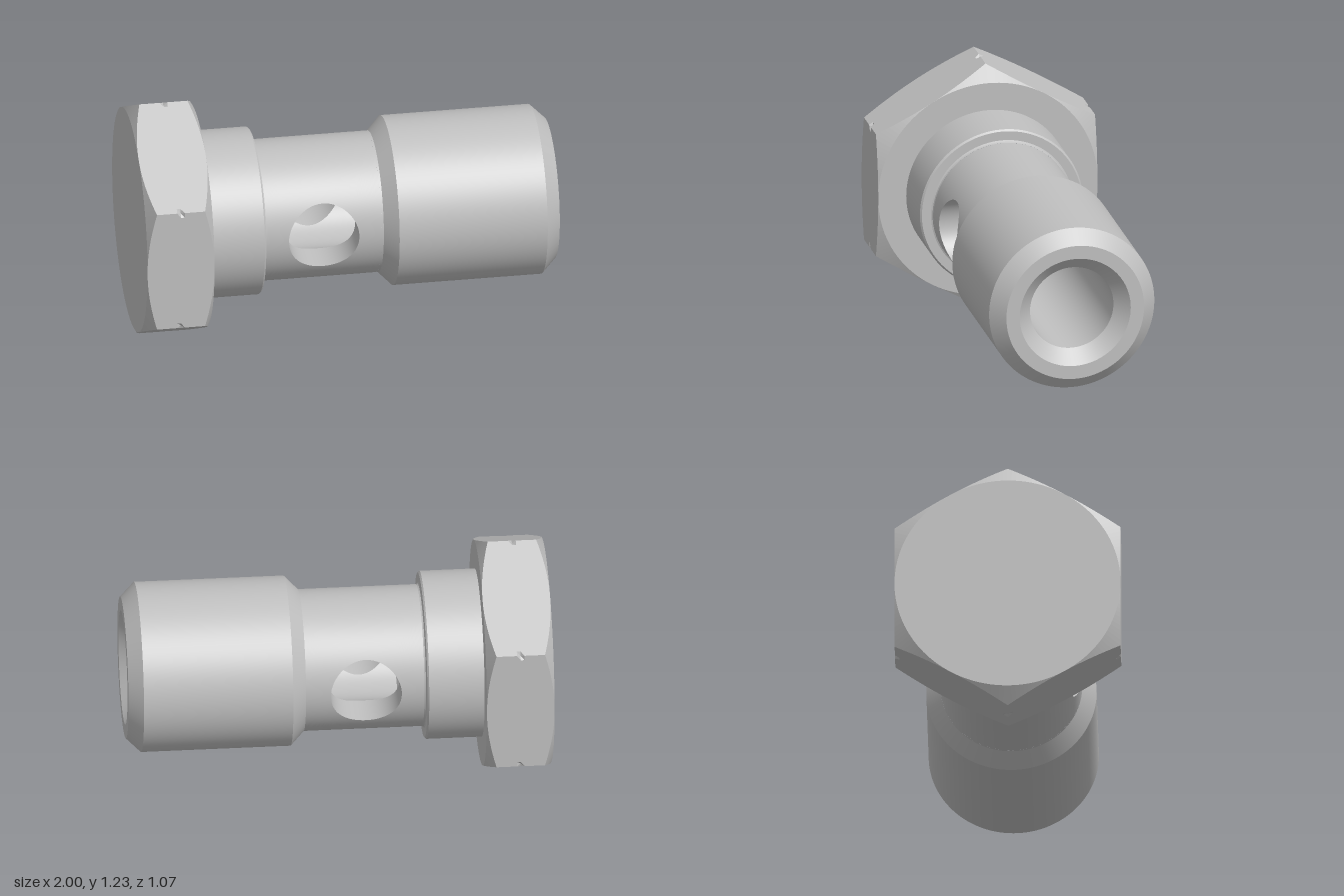
import * as THREE from 'three';
import { mergeGeometries } from 'three/addons/utils/BufferGeometryUtils.js';

const AXIS_Y = 0.616;                    // height of the bolt axis
const NECK_R = 0.335, BORE_R = 0.203;
const HOLE_X = -0.125, HOLE_R = 0.168;   // cross hole, drilled along z

// Turned surface about the x axis from [x, radius] points, with sharp edges
function turned(profile) {
  const bands = [];
  for (let i = 0; i + 1 < profile.length; i++) {
    const pts = [profile[i], profile[i + 1]].map(([x, r]) => new THREE.Vector2(r, x));
    bands.push(new THREE.LatheGeometry(pts, 96));
  }
  return mergeGeometries(bands).rotateZ(-Math.PI / 2);
}

// Grid surface; f(i, j) gives { p, n }, and faces are wound to agree with n
function gridSurface(rows, cols, f) {
  const pos = [], nor = [], index = [], P = [], N = [];
  for (let i = 0; i <= rows; i++) for (let j = 0; j <= cols; j++) {
    const { p, n } = f(i, j);
    P.push(p); N.push(n);
    pos.push(...p.toArray()); nor.push(...n.toArray());
  }
  const tri = (a, b, c) => {
    const g = P[b].clone().sub(P[a]).cross(P[c].clone().sub(P[a]));
    const facing = g.dot(N[a].clone().add(N[b]).add(N[c]));
    index.push(...(facing >= 0 ? [a, b, c] : [a, c, b]));
  };
  for (let i = 0; i < rows; i++) for (let j = 0; j < cols; j++) {
    const a = i * (cols + 1) + j, d = a + cols + 1;
    tri(a, a + 1, d + 1);
    tri(a, d + 1, d);
  }
  const geo = new THREE.BufferGeometry();
  geo.setAttribute('position', new THREE.Float32BufferAttribute(pos, 3));
  geo.setAttribute('normal', new THREE.Float32BufferAttribute(nor, 3));
  geo.setIndex(index);
  return geo;
}

// Point number j of 4 * SIDE on the outline of the square from -1 to 1
const SIDE = 24;
function squarePoint(j) {
  const s = Math.floor(j / SIDE) % 4, t = (j % SIDE) / SIDE * 2 - 1;
  return [[1, t], [-t, 1], [-1, -t], [t, -1]][s];
}

// Half cylinder wall (z > 0) of radius R with the round cross hole cut out
function piercedWall(R, halfLength, sign) {
  const rings = 16;
  return gridSurface(rings, SIDE * 4, (i, j) => {
    const [u, v] = squarePoint(j), t = Math.atan2(v, u), k = i / rings;
    const x = THREE.MathUtils.lerp(HOLE_R * Math.cos(t), halfLength * u, k);
    const phi = THREE.MathUtils.lerp(Math.asin(HOLE_R * Math.sin(t) / R), v * Math.PI / 2, k);
    const n = new THREE.Vector3(0, Math.sin(phi), Math.cos(phi));
    const p = n.clone().multiplyScalar(R).setX(HOLE_X + x);
    return { p, n: n.multiplyScalar(sign) };
  });
}

// Wall of the cross hole between the neck surface and the bore
function holeWall() {
  return gridSurface(4, SIDE * 4, (i, j) => {
    const [u, v] = squarePoint(j), t = Math.atan2(v, u);
    const y = HOLE_R * Math.sin(t);
    const z = THREE.MathUtils.lerp(Math.sqrt(NECK_R ** 2 - y * y), Math.sqrt(BORE_R ** 2 - y * y), i / 4);
    return {
      p: new THREE.Vector3(HOLE_X + HOLE_R * Math.cos(t), y, z),
      n: new THREE.Vector3(-Math.cos(t), -Math.sin(t), 0)
    };
  });
}

// Hexagon head with conical chamfers at both ends and a small nick in each corner
function hexHead() {
  const flat = 0.533, x0 = -1, x1 = -0.68, mid = -0.84, steps = 180;
  const column = j => {
    const deg = (j % steps) * 360 / steps, a = THREE.MathUtils.degToRad(deg);
    const r = flat / Math.cos(THREE.MathUtils.degToRad(deg % 60 - 30));
    const inset = (r - flat) * 0.55;
    const nick = deg % 60 === 0 ? 0.016 : 0;
    return [[x0, 0], [x0, flat], [x0 + inset, r], [mid - 0.018, r], [mid, r - nick],
      [mid + 0.018, r], [x1 - inset, r], [x1, flat], [x1, 0.38]]
      .map(([x, q]) => [x, q * Math.cos(a), q * Math.sin(a)]);
  };
  const pos = [];
  for (let j = 0; j < steps; j++) {
    const A = column(j), B = column(j + 1);
    for (let i = 0; i + 1 < A.length; i++) {
      if (i > 0) pos.push(...A[i], ...B[i], ...B[i + 1]);
      pos.push(...A[i], ...B[i + 1], ...A[i + 1]);
    }
  }
  const geo = new THREE.BufferGeometry();
  geo.setAttribute('position', new THREE.Float32BufferAttribute(pos, 3));
  geo.computeVertexNormals();
  return geo;
}

export function createModel() {
  const steel = new THREE.MeshStandardMaterial({ color: 0xc0c0c0 });
  steel.name = 'steel grey';
  const model = new THREE.Group();
  model.name = 'hollowBolt';
  const bolt = new THREE.Group();
  bolt.name = 'bolt';
  bolt.position.y = AXIS_Y;
  model.add(bolt);
  const add = (name, geo, parent = bolt) => {
    const mesh = new THREE.Mesh(geo, steel);
    mesh.name = name;
    parent.add(mesh);
  };

  add('hexHead', hexHead());

  // Collar under the head, with a small fillet into the neck
  add('collar', turned([[-0.68, 0.397], [-0.418, 0.397], [-0.41, 0.389],
    [-0.41, 0.345], [-0.407, 0.338], [-0.4, NECK_R]]));

  // Shank: shoulder cone, body, end chamfer and end face
  add('shank', turned([[0.15, NECK_R], [0.16, NECK_R], [0.225, 0.402], [0.932, 0.402],
    [1, 0.335], [1, 0.27]]));

  // Bore: countersink, straight wall and drilled point
  add('bore', turned([[1, 0.27], [0.932, BORE_R], [0.05, BORE_R]]));
  add('boreTip', turned([[-0.3, BORE_R], [-0.42, 0]]));

  // Neck and bore walls around the cross hole, front and back
  for (const [side, turn] of [['front', 0], ['back', Math.PI]]) {
    const half = new THREE.Group();
    half.name = side + 'NeckHalf';
    half.rotation.x = turn;
    bolt.add(half);
    add(side + 'Neck', piercedWall(NECK_R, 0.275, 1), half);
    add(side + 'BoreWall', piercedWall(BORE_R, 0.175, -1), half);
    add(side + 'CrossHole', holeWall(), half);
  }
  return model;
}
